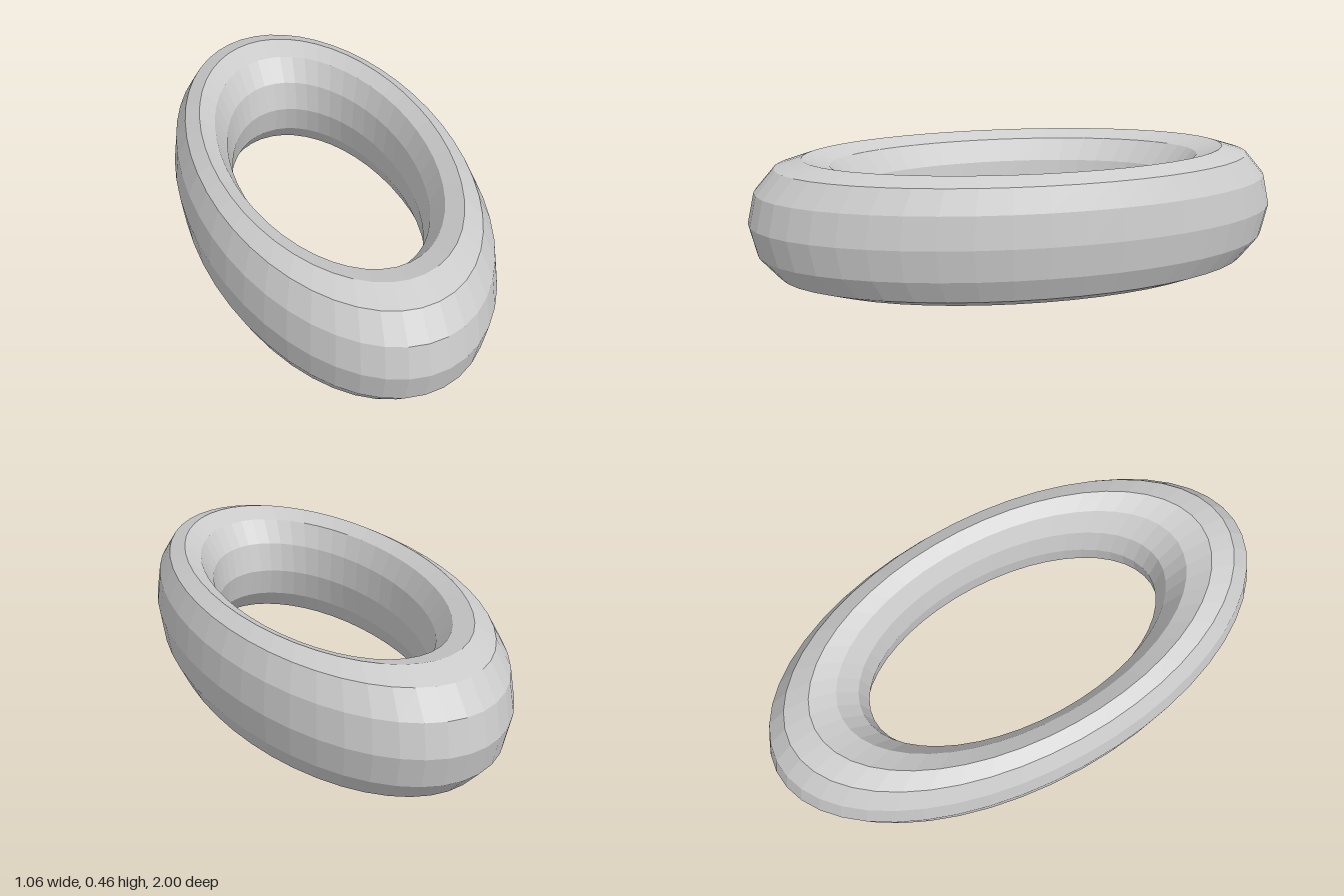
import * as THREE from 'three';

export function createModel() {
  const group = new THREE.Group();

  // Low-poly ring: 12-sided tube, 48 steps around, squeezed into an oval
  const geometry = new THREE.TorusGeometry(0.8, 0.2, 12, 48);
  geometry.rotateX(-Math.PI / 2);
  geometry.scale(0.532, 1.15, 1);
  geometry.translate(0, 0.23, 0);

  const material = new THREE.MeshStandardMaterial({ color: 0xcccccc, flatShading: true });
  const ring = new THREE.Mesh(geometry, material);
  ring.name = 'ovalRing';
  group.add(ring);

  return group;
}
